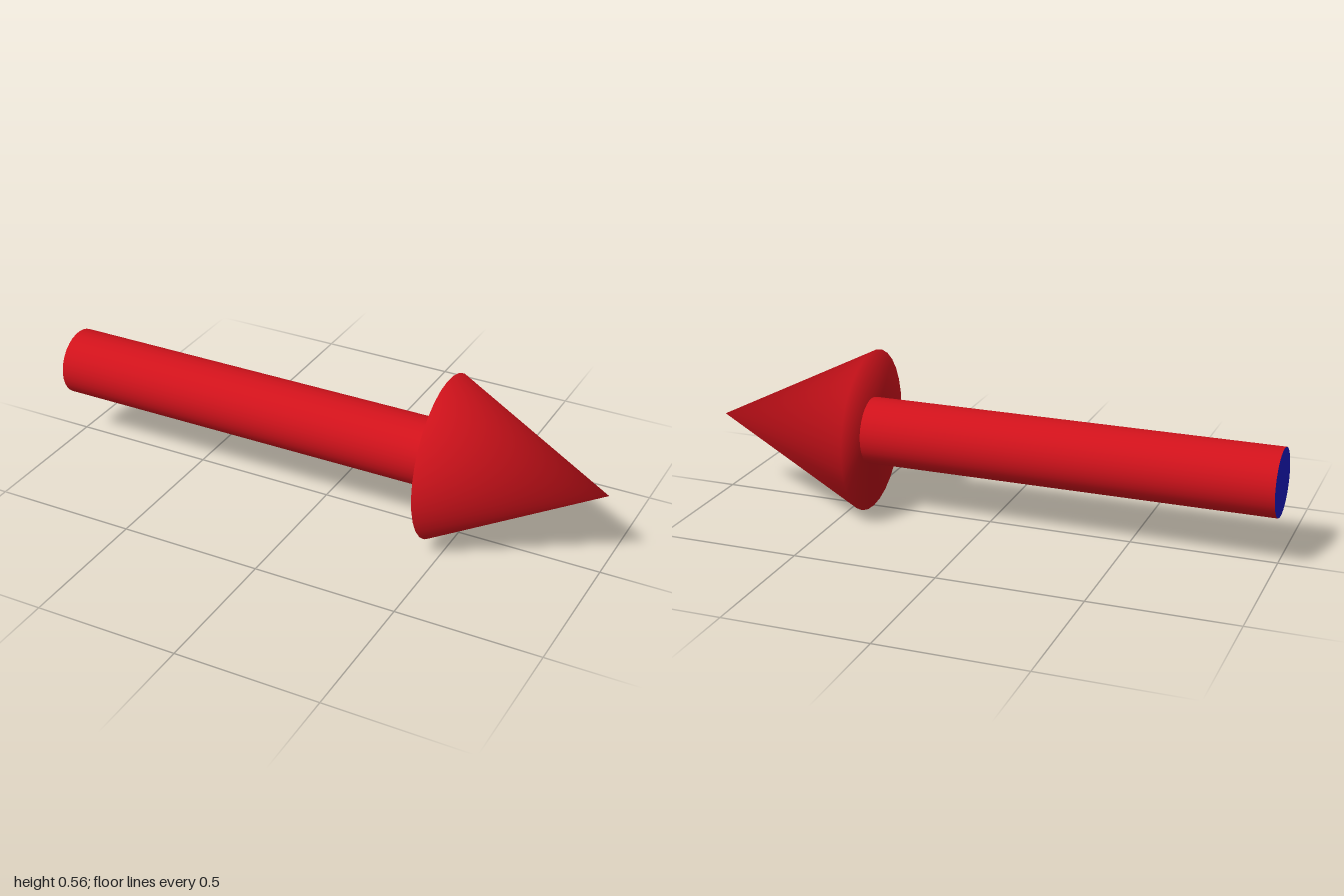
import * as THREE from 'three';

const SIDES = 32;
const AXIS_Y = 0.282;
const BASE_X = 0.437; // where the shaft meets the head

// Cone along +x with its base at the origin, shaded softly over the tip and rim
function makeHead(radius, length) {
  const geo = new THREE.ConeGeometry(radius, length, SIDES);
  geo.rotateZ(-Math.PI / 2).translate(length / 2, 0, 0);
  const pos = geo.attributes.position;
  const normal = new THREE.Vector3();
  for (let i = 0; i < pos.count; i++) {
    const x = pos.getX(i), y = pos.getY(i) / radius, z = pos.getZ(i) / radius;
    if (x > length / 2) normal.set(1, 0, 0);
    else normal.set(-0.53 * Math.hypot(y, z) || -1, 0.85 * y, 0.85 * z);
    normal.normalize();
    geo.attributes.normal.setXYZ(i, normal.x, normal.y, normal.z);
  }
  return geo;
}

export function createModel() {
  const group = new THREE.Group();
  const red = new THREE.MeshStandardMaterial({ color: 0xd0121b, side: THREE.DoubleSide });
  const blue = new THREE.MeshStandardMaterial({ color: 0x1a1ac0, side: THREE.DoubleSide });

  function add(name, geometry, material, x) {
    const mesh = new THREE.Mesh(geometry, material);
    mesh.name = name;
    mesh.position.set(x, AXIS_Y, 0);
    group.add(mesh);
    return mesh;
  }

  // Shaft: round tube running from the tail into the head
  const radius = 0.116, length = BASE_X + 1;
  const tube = new THREE.CylinderGeometry(radius, radius, length, SIDES, 1, true);
  add('shaft', tube.rotateZ(-Math.PI / 2), red, BASE_X - length / 2);

  // Tail cap: blue disc closing the shaft
  add('tailCap', new THREE.CircleGeometry(radius, SIDES).rotateY(-Math.PI / 2), blue, -1);

  // Head: cone set at a very slight angle to the shaft
  const head = add('arrowHead', makeHead(0.281, 0.563), red, BASE_X);
  head.rotation.y = 0.04;

  return group;
}
